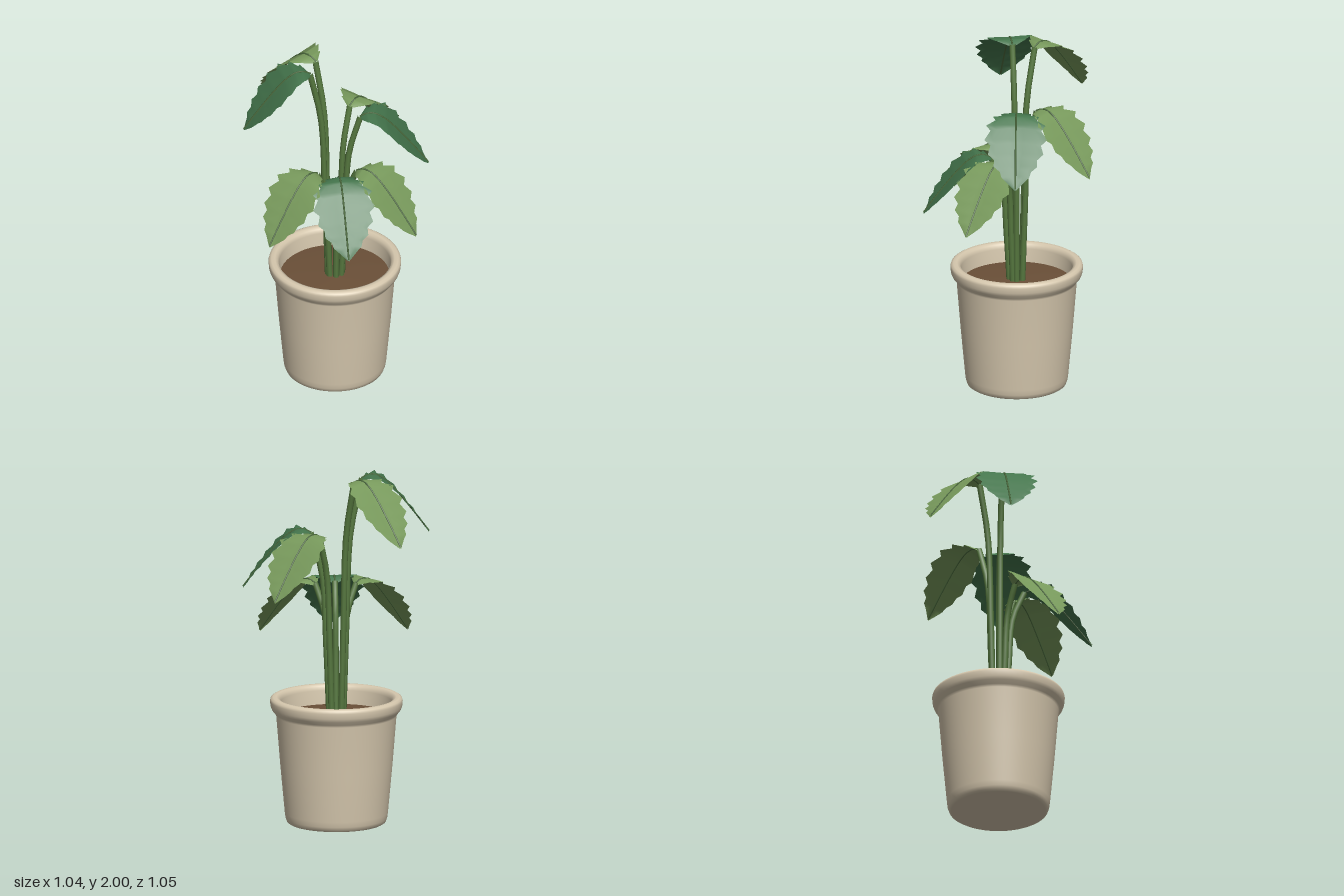
import * as THREE from 'three';

const mat = (color, side = THREE.FrontSide) =>
  new THREE.MeshStandardMaterial({ color, side });

// Height of a leaf's midrib, relative to its crest, at distance r from the plant's axis
const droop = r => 0.15 - Math.sqrt(2.014 * (r - 0.2) ** 2 + 0.0225);

// Leaf outline: distance from axis, half width (alternating notch and tooth tip)
const OUTLINE = [
  [0.14, 0.012], [0.172, 0.085], [0.184, 0.08], [0.222, 0.13], [0.234, 0.115],
  [0.278, 0.168], [0.292, 0.142], [0.34, 0.176], [0.354, 0.142], [0.395, 0.156],
  [0.408, 0.122], [0.44, 0.122], [0.452, 0.088], [0.478, 0.078], [0.488, 0.055], [0.525, 0.002],
];

// Toothed, pleated blade that arches outward along +x
function leafGeometry() {
  const cols = 8, pos = [], idx = [];
  OUTLINE.forEach(([r, w], i) => {
    for (let j = 0; j <= cols; j++) {
      const s = (j / cols) * 2 - 1, a = Math.abs(s);
      const sweep = r + 0.012 * a * Math.min(1, w / 0.1);
      const pleat = (i % 2 ? 0.006 : -0.006) * a * Math.min(1, w / 0.1);
      pos.push(sweep, droop(r) + pleat - 0.008 * a * a, s * w);
    }
  });
  const n = cols + 1;
  for (let i = 0; i < OUTLINE.length - 1; i++) {
    for (let j = 0; j < cols; j++) {
      const a = i * n + j;
      idx.push(a, a + 1, a + n, a + 1, a + n + 1, a + n);
    }
  }
  const g = new THREE.BufferGeometry();
  g.setAttribute('position', new THREE.Float32BufferAttribute(pos, 3));
  g.setIndex(idx);
  g.computeVertexNormals();
  return g;
}

// Thin raised rib along the blade
function midribGeometry() {
  const pts = [];
  for (let i = 0; i <= 8; i++) {
    const r = 0.14 + (0.385 * i) / 8;
    pts.push(new THREE.Vector3(r, droop(r) + 0.001, 0));
  }
  return new THREE.TubeGeometry(new THREE.CatmullRomCurve3(pts), 16, 0.005, 6);
}

// Stalk leaning outward with a soft kink below the leaf
function stemGeometry(top) {
  const base = 0.6;
  const path = new THREE.CatmullRomCurve3([
    new THREE.Vector3(0.04, base, 0),
    new THREE.Vector3(0.058, base + (top - base) * 0.4, 0),
    new THREE.Vector3(0.08, base + (top - base) * 0.76, 0),
    new THREE.Vector3(0.145, top - 0.02, 0),
  ]);
  return new THREE.TubeGeometry(path, 12, 0.017, 8);
}

export function createModel() {
  const plant = new THREE.Group();
  plant.name = 'pottedPlant';
  const add = (parent, name, geo, material) => {
    const m = new THREE.Mesh(geo, material);
    m.name = name;
    parent.add(m);
    return m;
  };

  // Pot: tapered wall, rolled rim and inner wall
  const profile = [
    [0, 0], [0.265, 0], [0.278, 0.008], [0.286, 0.03], [0.29, 0.06], [0.315, 0.33],
    [0.338, 0.615], [0.345, 0.63], [0.362, 0.65], [0.37, 0.67], [0.373, 0.7],
    [0.369, 0.714], [0.356, 0.722], [0.336, 0.722], [0.32, 0.714], [0.313, 0.69], [0.305, 0.58],
  ].map(p => new THREE.Vector2(...p));
  add(plant, 'pot', new THREE.LatheGeometry(profile, 64), mat(0xd6c8ae, THREE.DoubleSide));

  // Soil, slightly raised in the middle
  const soil = [[0.312, 0.612], [0.2, 0.622], [0, 0.627]].map(p => new THREE.Vector2(...p));
  add(plant, 'soil', new THREE.LatheGeometry(soil, 48), mat(0x6b5038));

  // Leaves on stalks: direction of tip (x, z), crest height, dark or light green
  const light = mat(0x789a5c, THREE.DoubleSide);
  const dark = mat(0x44754c, THREE.DoubleSide);
  const stemMat = mat(0x56783f);
  const ribMat = mat(0x48663a);
  const blade = leafGeometry(), rib = midribGeometry();
  [
    [-0.085, -0.52, 1.685, light],
    [0.36, -0.39, 1.685, dark],
    [0.51, -0.14, 1.375, light],
    [0.42, 0.31, 1.375, dark],
    [0.005, 0.52, 1.375, light],
    [-0.27, 0.435, 1.995, dark],
    [-0.52, 0.035, 1.995, light],
  ].forEach(([x, z, top, green], i) => {
    const frond = new THREE.Group();
    frond.name = `frond${i + 1}`;
    frond.rotation.y = Math.atan2(-z, x);
    add(frond, 'stem', stemGeometry(top), stemMat);
    add(frond, 'leaf', blade, green).position.y = top;
    add(frond, 'midrib', rib, ribMat).position.y = top;
    plant.add(frond);
  });
  return plant;
}
